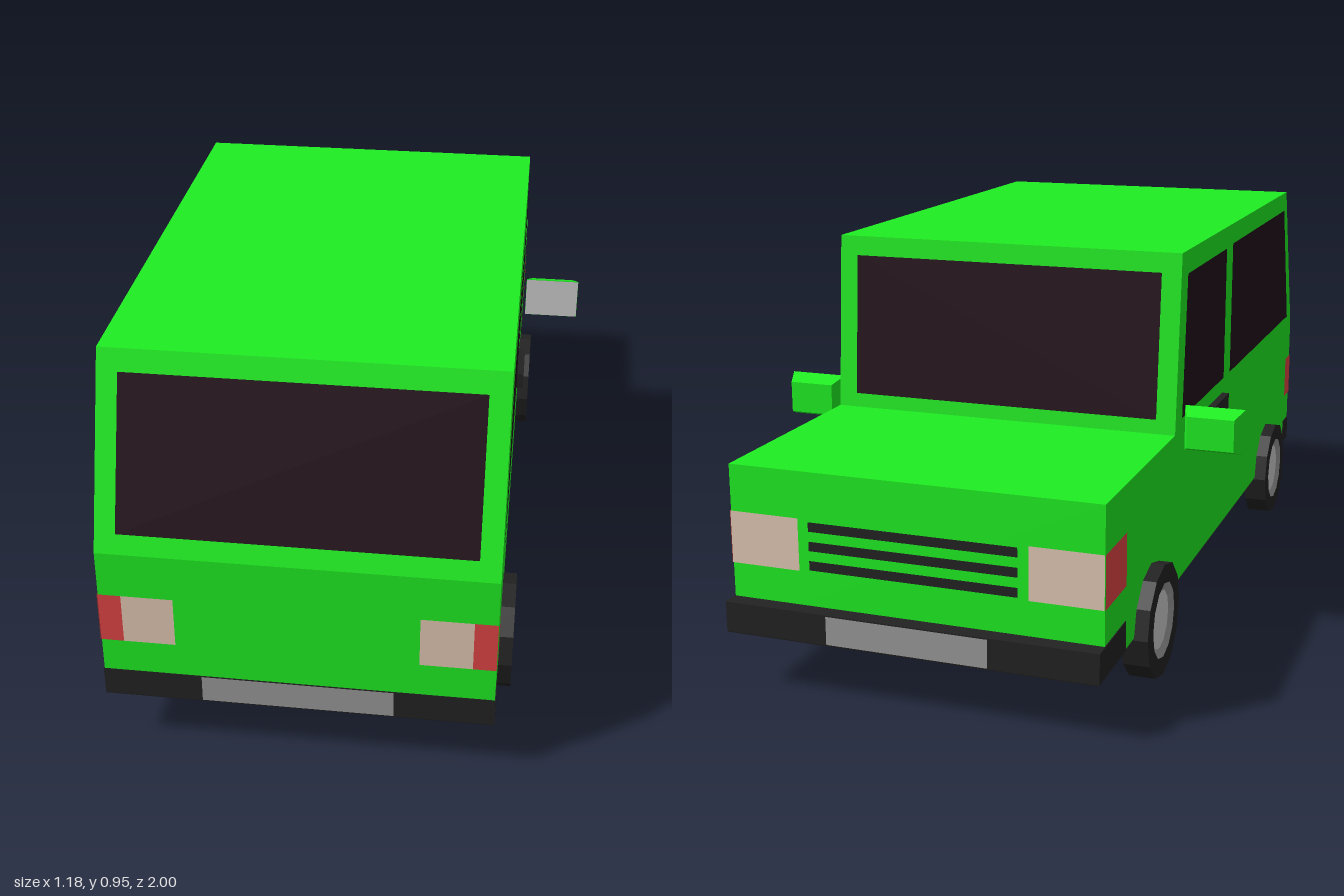
import * as THREE from 'three';

const GREEN = 0x1fee22, GLASS = 0x22101a, BLACK = 0x222222, GREY = 0x999999;
const RED = 0xe04444, CREAM = 0xe2c8b4, W = 0.437, GAP = 0.002;

const mat = (color, side = THREE.FrontSide) =>
  new THREE.MeshStandardMaterial({ color, flatShading: true, side });

export function createModel() {
  const car = new THREE.Group();
  car.name = 'car';

  const add = (name, geometry, color, side) => {
    const mesh = new THREE.Mesh(geometry, mat(color, side));
    mesh.name = name;
    car.add(mesh);
    return mesh;
  };
  // box given by its lower and upper limits
  const box = (name, color, [x0, x1], [y0, y1], [z0, z1]) =>
    add(name, new THREE.BoxGeometry(x1 - x0, y1 - y0, z1 - z0), color)
      .position.set((x0 + x1) / 2, (y0 + y1) / 2, (z0 + z1) / 2);
  // thin flat panel through four corners
  const panel = (name, color, corners) => {
    const g = new THREE.BufferGeometry();
    g.setAttribute('position', new THREE.Float32BufferAttribute(corners.flat(), 3));
    g.setIndex([0, 1, 2, 0, 2, 3]);
    g.computeVertexNormals();
    return add(name, g, color, THREE.DoubleSide);
  };
  // panel across the width, z given as a function of height
  const crossPanel = (name, color, x0, x1, y0, y1, z) =>
    panel(name, color, [[x0, y0, z(y0)], [x1, y0, z(y0)], [x1, y1, z(y1)], [x0, y1, z(y1)]]);
  // panel on one flank, corners as [z, y]
  const sidePanel = (name, color, s, pts) =>
    panel(name, color, pts.map(([z, y]) => [s * (W + GAP), y, z]));

  // body: side profile extruded across the width
  const profile = [[0.998, 0.14], [0.998, 0.52], [0.855, 0.947], [-0.38, 0.947],
    [-0.417, 0.52], [-0.958, 0.52], [-0.958, 0.14]];
  const shape = new THREE.Shape(profile.map(([z, y]) => new THREE.Vector2(z, y)));
  const body = new THREE.ExtrudeGeometry(shape, { depth: 2 * W, bevelEnabled: false });
  body.translate(0, 0, -W).rotateY(-Math.PI / 2);
  add('body', body, GREEN);
  panel('underside', 0x151515, [[-W, 0.138, -1], [W, 0.138, -1], [W, 0.138, 1], [-W, 0.138, 1]]);

  // sloped end windows
  const slope = (z0, z1, off) => y => z0 + (z1 - z0) * (y - 0.52) / 0.427 + off;
  crossPanel('tailWindow', GLASS, -0.39, 0.39, 0.565, 0.9, slope(0.998, 0.855, 0.003));
  crossPanel('windscreen', GLASS, -0.39, 0.39, 0.555, 0.9, slope(-0.417, -0.38, -0.003));

  // bumpers with number plates
  const bw = [-W - GAP, W + GAP];
  box('hoodBumper', BLACK, bw, [0.139, 0.209], [-0.998, -0.81]);
  box('tailBumper', BLACK, bw, [0.139, 0.207], [0.93, 0.999]);
  crossPanel('hoodPlate', GREY, -0.19, 0.19, 0.141, 0.207, () => -1);
  crossPanel('tailPlate', GREY, -0.215, 0.215, 0.141, 0.206, () => 1.001);

  // grille bars
  for (const y of [0.305, 0.35, 0.395])
    crossPanel('grilleBar', BLACK, -0.245, 0.245, y - 0.011, y + 0.011, () => -0.961);

  // wheel cross-section: tyre, then sloped rim and flat hub on both faces
  const lathe = pts => new THREE.LatheGeometry(pts.map(p => new THREE.Vector2(...p)), 12)
    .rotateZ(-Math.PI / 2);
  const tyre = lathe([[0.09, -0.031], [0.135, -0.031], [0.135, 0.031], [0.09, 0.031]]);
  const rim = lathe([[0.07, -0.022], [0.09, -0.031], [0.09, 0.031], [0.07, 0.022]]);
  const hub = lathe([[0, -0.022], [0.07, -0.022], [0.07, 0.022], [0, 0.022]]);

  // mirror housing: box narrowed toward the hood end
  const housing = new THREE.BoxGeometry(0.145, 0.11, 0.045);
  const p = housing.attributes.position;
  for (let i = 0; i < p.count; i++)
    if (p.getZ(i) < 0) p.setXY(i, p.getX(i) * 0.78, p.getY(i) * 0.7);

  for (const s of [-1, 1]) {
    sidePanel('rearSideWindow', GLASS, s, [[0.925, 0.55], [0.82, 0.895], [0.135, 0.895], [0.135, 0.55]]);
    sidePanel('doorWindow', GLASS, s, [[0.065, 0.55], [0.065, 0.892], [-0.332, 0.892], [-0.362, 0.55]]);
    box('doorHandle', BLACK, s > 0 ? [W, 0.455] : [-0.455, -W], [0.47, 0.51], [-0.086, 0.062]);

    // lamps on the flanks and both ends
    sidePanel('hoodSideLamp', RED, s, [[-0.96, 0.29], [-0.96, 0.412], [-0.81, 0.412], [-0.81, 0.29]]);
    sidePanel('tailSideLamp', RED, s, [[1, 0.29], [1, 0.412], [0.93, 0.412], [0.93, 0.29]]);
    crossPanel('headlamp', CREAM, s * 0.27, s * W, 0.29, 0.412, () => -0.961);
    crossPanel('tailLamp', RED, s * 0.386, s * W, 0.29, 0.412, () => 1);
    crossPanel('reverseLamp', CREAM, s * 0.27, s * 0.386, 0.29, 0.412, () => 1);

    // wing mirror
    add('mirrorHousing', housing, GREEN).position.set(s * 0.52, 0.529, -0.39);
    crossPanel('mirrorGlass', 0xcccccc, s * 0.448, s * 0.592, 0.475, 0.583, () => -0.366);

    for (const z of [0.653, -0.607]) {
      for (const [name, g, c] of [['tyre', tyre, BLACK], ['rim', rim, GREY], ['hub', hub, 0xcccccc]])
        add(name, g, c, THREE.DoubleSide).position.set(s * 0.438, 0.135, z);
    }
  }
  return car;
}
